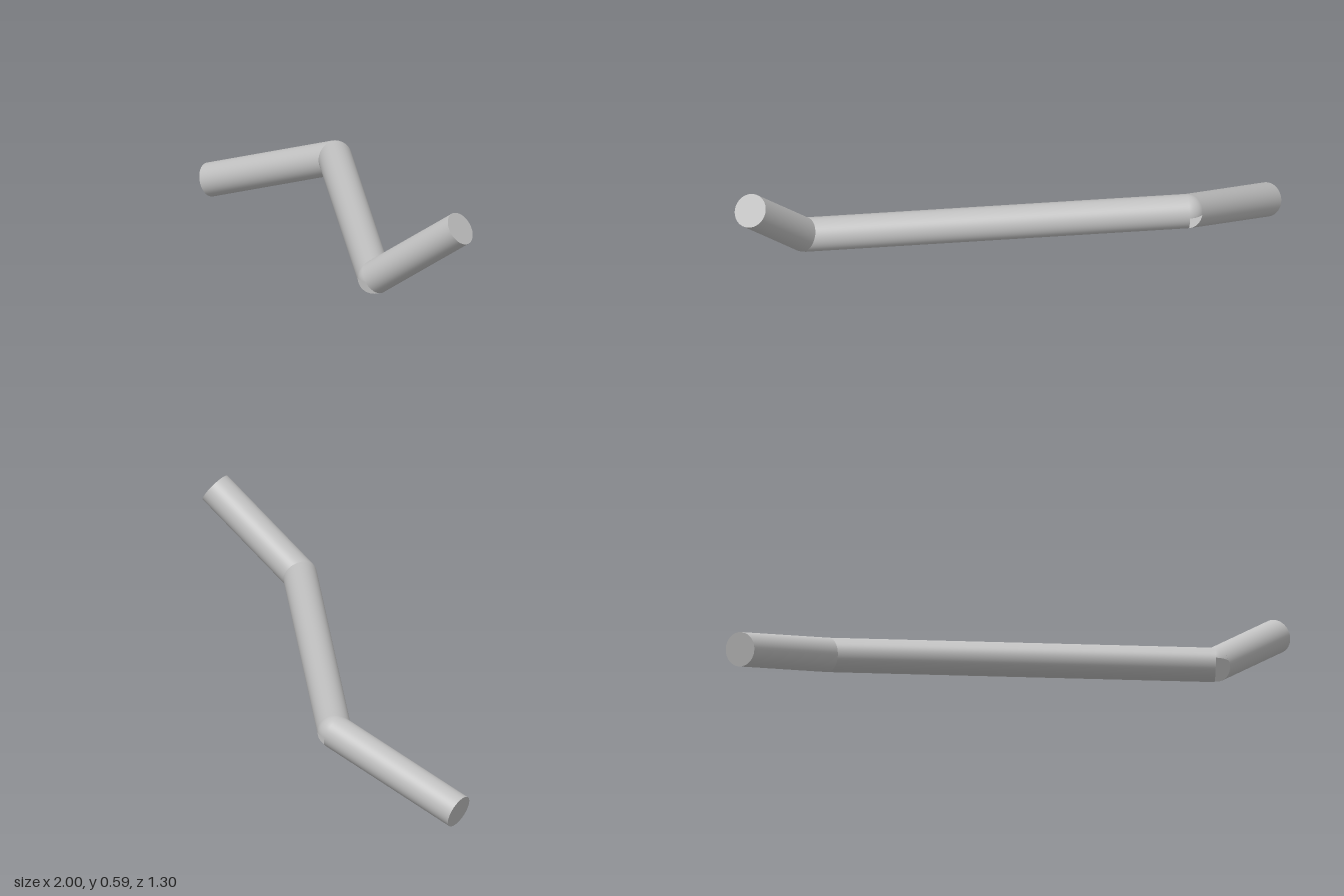
import * as THREE from 'three';

export function createModel() {
  const group = new THREE.Group();
  const grey = new THREE.MeshStandardMaterial({ color: 0xc0c0c0, side: THREE.DoubleSide });
  grey.name = 'grey';

  const radius = 0.067;
  // Centre line of the bent rod
  const lowEnd = new THREE.Vector3(-0.979, 0.064, -0.581);
  const backJoint = new THREE.Vector3(-0.395, 0.26, -0.581);
  const frontJoint = new THREE.Vector3(0.563, 0.26, 0.581);
  const highEnd = new THREE.Vector3(0.962, 0.532, 0.581);

  // Flat-ended cylinder between two points
  function addRod(name, a, b) {
    const dir = b.clone().sub(a);
    const rod = new THREE.Mesh(new THREE.CylinderGeometry(radius, radius, dir.length(), 48), grey);
    rod.name = name;
    rod.position.copy(a).add(b).multiplyScalar(0.5);
    rod.quaternion.setFromUnitVectors(new THREE.Vector3(0, 1, 0), dir.normalize());
    group.add(rod);
  }

  addRod('lowerArm', lowEnd, backJoint);
  addRod('middleBar', backJoint, frontJoint);
  addRod('upperArm', frontJoint, highEnd);

  // Upper half domes fill the bends; the lower half stays notched
  for (const [name, p] of [['backElbow', backJoint], ['frontElbow', frontJoint]]) {
    const dome = new THREE.Mesh(
      new THREE.SphereGeometry(radius, 48, 16, 0, Math.PI * 2, 0, Math.PI / 2), grey);
    dome.name = name;
    dome.position.copy(p);
    group.add(dome);
  }
  return group;
}
